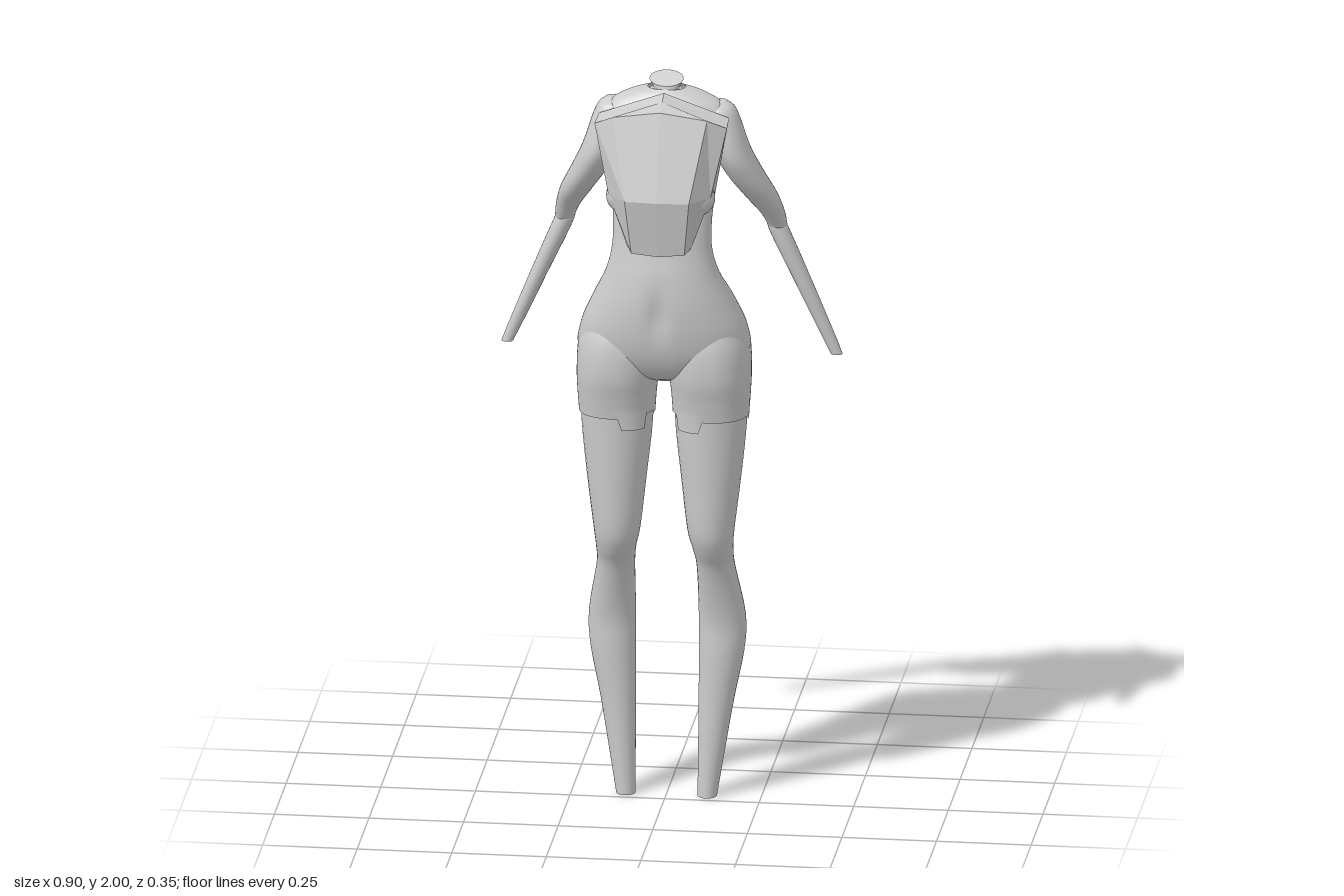
import * as THREE from 'three';

const material = new THREE.MeshStandardMaterial({ color: 0xcccccc, side: THREE.DoubleSide });
const flatMaterial = new THREE.MeshStandardMaterial({ color: 0xcccccc, flatShading: true, side: THREE.DoubleSide });
const bump = (v, centre, width) => Math.exp(-(((v - centre) / width) ** 2));

// Smooth tube through horizontal rings [y, xMin, xMax, zFront, zBack], listed from top to bottom.
function loft(name, rings, { segments = 32, steps = 4, power = 1, deform, skip, capTop, capEnd } = {}) {
  const spline = new THREE.CubicInterpolant(rings.map((r, i) => i), rings.flat(), 5);
  const count = (rings.length - 1) * steps;
  const pos = [], index = [];
  const p = new THREE.Vector3();
  const shape = (v) => Math.sign(v) * Math.abs(v) ** power;
  for (let i = 0; i <= count; i++) {
    const [y, x0, x1, zf, zb] = spline.evaluate(i / steps);
    for (let j = 0; j < segments; j++) {
      const a = (j / segments) * Math.PI * 2;
      p.set((x0 + x1) / 2 + shape(Math.cos(a)) * (x1 - x0) / 2, y, (zf + zb) / 2 + shape(Math.sin(a)) * (zf - zb) / 2);
      if (deform) deform(p, i / count, Math.sin(a));
      pos.push(p.x, p.y, p.z);
    }
  }
  for (let i = 0; i < count; i++) {
    for (let j = 0; j < segments; j++) {
      const a = i * segments + j, b = i * segments + (j + 1) % segments;
      const c = a + segments, d = b + segments;
      const mid = (k) => (pos[a * 3 + k] + pos[d * 3 + k]) / 2;
      if (skip && skip(mid(0), mid(1), mid(2))) continue;
      index.push(b, d, c, b, c, a);
    }
  }
  const cap = (row, up) => {
    const start = pos.length / 3, centre = [0, 0, 0];
    for (let j = 0; j < segments; j++) {
      for (let k = 0; k < 3; k++) {
        const v = pos[(row * segments + j) * 3 + k];
        pos.push(v);
        centre[k] += v / segments;
      }
    }
    pos.push(...centre);
    for (let j = 0; j < segments; j++) {
      const a = start + j, b = start + (j + 1) % segments;
      index.push(start + segments, up ? b : a, up ? a : b);
    }
  };
  if (capTop) cap(0, true);
  if (capEnd) cap(count, false);
  const geometry = new THREE.BufferGeometry();
  geometry.setAttribute('position', new THREE.Float32BufferAttribute(pos, 3));
  geometry.setIndex(index);
  geometry.computeVertexNormals();
  const mesh = new THREE.Mesh(geometry, material);
  mesh.name = name;
  return mesh;
}

// Torso with a spine groove, seat cleft and navel line
function createTorso() {
  const half = [
    [1.962, 0.05, -0.015, -0.085], [1.948, 0.10, 0.0, -0.095], [1.92, 0.15, 0.02, -0.10],
    [1.87, 0.165, 0.05, -0.105], [1.78, 0.148, 0.08, -0.095], [1.7, 0.137, 0.1, -0.065],
    [1.62, 0.13, 0.115, -0.03], [1.55, 0.132, 0.125, -0.022], [1.48, 0.15, 0.138, -0.05],
    [1.4, 0.188, 0.145, -0.105], [1.32, 0.22, 0.14, -0.128], [1.25, 0.222, 0.122, -0.12],
    [1.2, 0.14, 0.09, -0.09], [1.17, 0.04, 0.03, -0.04],
  ];
  return loft('torso', half.map(([y, x, zf, zb]) => [y, -x, x, zf, zb]), {
    segments: 72, steps: 6, power: 0.92,
    deform(p, t, s) {
      const groove = 0.025 * bump(p.x, 0, 0.035);
      if (s < 0) p.z += groove * (bump(p.y, 1.75, 0.13) + 1.4 * bump(p.y, 1.26, 0.07) + 0.4 * bump(p.y, 1.5, 0.1)) * -s;
      else p.z -= 0.6 * bump(p.x, 0, 0.02) * 0.025 * bump(p.y, 1.38, 0.06) * s;
    },
    // Open notch and slit along the upper back
    skip: (x, y, z) => z < 0.02 && (Math.abs(x) < 0.05 * (1 - Math.abs(y - 1.84) / 0.045)
      || Math.abs(x) < 0.016 * (1 - Math.abs(y - 1.66) / 0.075)),
  });
}

// Ragged lower edge of the shorts
function hemHeight(x, z) {
  const ax = Math.abs(x);
  if (z > 0.03) return ax > 0.11 ? 1.082 : ax > 0.04 ? 1.05 : 1.09;
  if (z < -0.02) return ax > 0.17 ? 1.055 : ax > 0.1 ? 1.09 : 1.065;
  return 1.08;
}

// Faceted breastplate: three loops of eight corners
function createChestPlate() {
  const levels = [
    [[0.172, 1.9, 0.01], [0.175, 1.895, 0.08], [0.125, 1.92, 0.1], [0, 1.937, 0.1], [0, 1.962, 0.01]],
    [[0.14, 1.71, 0.03], [0.135, 1.71, 0.11], [0.085, 1.71, 0.168], [0, 1.71, 0.172], [0, 1.71, 0.05]],
    [[0.09, 1.6, 0.08], [0.085, 1.57, 0.11], [0.07, 1.56, 0.145], [0, 1.555, 0.15], [0, 1.6, 0.08]],
  ].map(([back, side, front, mid, rear]) => {
    const flip = ([x, y, z]) => [-x, y, z];
    return [back, side, front, mid, flip(front), flip(side), flip(back), rear];
  });
  const pos = [];
  const tri = (...corners) => corners.forEach((c) => pos.push(...c));
  for (let j = 0; j < 8; j++) {
    const k = (j + 1) % 8;
    for (let i = 0; i < 2; i++) {
      const [u, d] = [levels[i], levels[i + 1]];
      tri(u[k], d[k], d[j]);
      tri(u[k], d[j], u[j]);
    }
    tri([0, 1.95, 0.05], levels[0][k], levels[0][j]);
    tri([0, 1.575, 0.12], levels[2][j], levels[2][k]);
  }
  const geometry = new THREE.BufferGeometry();
  geometry.setAttribute('position', new THREE.Float32BufferAttribute(pos, 3));
  geometry.computeVertexNormals();
  const mesh = new THREE.Mesh(geometry, flatMaterial);
  mesh.name = 'chestPlate';
  return mesh;
}

export function createModel() {
  const model = new THREE.Group();
  model.name = 'armouredFigure';
  model.add(createTorso(), createChestPlate());

  // Neck stub with a slanted cut
  model.add(loft('neck', [
    [1.985, -0.045, 0.045, -0.02, -0.07], [1.965, -0.034, 0.034, -0.015, -0.068],
    [1.95, -0.05, 0.05, -0.01, -0.08], [1.93, -0.08, 0.08, 0, -0.09],
  ], {
    capTop: true,
    deform(p, t) { p.y -= (1 - t) * (p.z + 0.045) * 0.6; },
  }));

  const limbs = {
    shortsLeg: [[
      [1.35, 0.04, 0.2, 0.1, -0.1], [1.28, 0.012, 0.225, 0.122, -0.125], [1.2, 0.014, 0.23, 0.125, -0.117],
      [1.14, 0.02, 0.228, 0.113, -0.1], [1.085, 0.024, 0.224, 0.102, -0.088],
    ], { segments: 64, power: 0.9, deform(p, t) { if (t === 1) p.y = hemHeight(p.x, p.z); } }],
    leg: [[
      [1.16, 0.028, 0.22, 0.1, -0.09], [1.05, 0.03, 0.218, 0.094, -0.082], [0.9, 0.046, 0.203, 0.088, -0.07],
      [0.76, 0.062, 0.186, 0.08, -0.06], [0.7, 0.075, 0.181, 0.06, -0.068], [0.64, 0.082, 0.183, 0.028, -0.092],
      [0.5, 0.083, 0.207, -0.01, -0.114], [0.4, 0.083, 0.203, -0.013, -0.114], [0.25, 0.083, 0.174, -0.016, -0.099],
      [0, 0.082, 0.133, -0.015, -0.073],
    ], { capEnd: true }],
    upperArm: [[
      [1.928, 0.125, 0.16, -0.035, -0.065], [1.9, 0.1, 0.187, 0.005, -0.095], [1.8, 0.125, 0.221, 0.024, -0.113],
      [1.73, 0.155, 0.253, 0.005, -0.128], [1.66, 0.2, 0.286, -0.035, -0.146], [1.6, 0.238, 0.302, -0.085, -0.164],
      [1.555, 0.258, 0.307, -0.115, -0.172],
    ], { capTop: true, capEnd: true }],
    forearm: [[
      [1.585, 0.258, 0.292, -0.122, -0.16], [1.55, 0.257, 0.31, -0.113, -0.171], [1.4, 0.326, 0.372, -0.125, -0.174],
      [1.26, 0.391, 0.428, -0.14, -0.174], [1.2, 0.42, 0.451, -0.145, -0.172],
    ], { segments: 24, capTop: true, capEnd: true }],
  };
  for (const [prefix, side] of [['left', 1], ['right', -1]]) {
    for (const [part, [rings, options]] of Object.entries(limbs)) {
      const placed = side > 0 ? rings : rings.map(([y, a, b, f, r]) => [y, -b, -a, f, r]);
      model.add(loft(prefix + part[0].toUpperCase() + part.slice(1), placed, options));
    }
    // Bust edge showing beside the plate
    const bust = new THREE.Mesh(new THREE.SphereGeometry(1, 24, 16), material);
    bust.name = prefix + 'Bust';
    bust.scale.set(0.052, 0.05, 0.05);
    bust.position.set(side * 0.092, 1.7, 0.082);
    model.add(bust);
  }
  return model;
}
